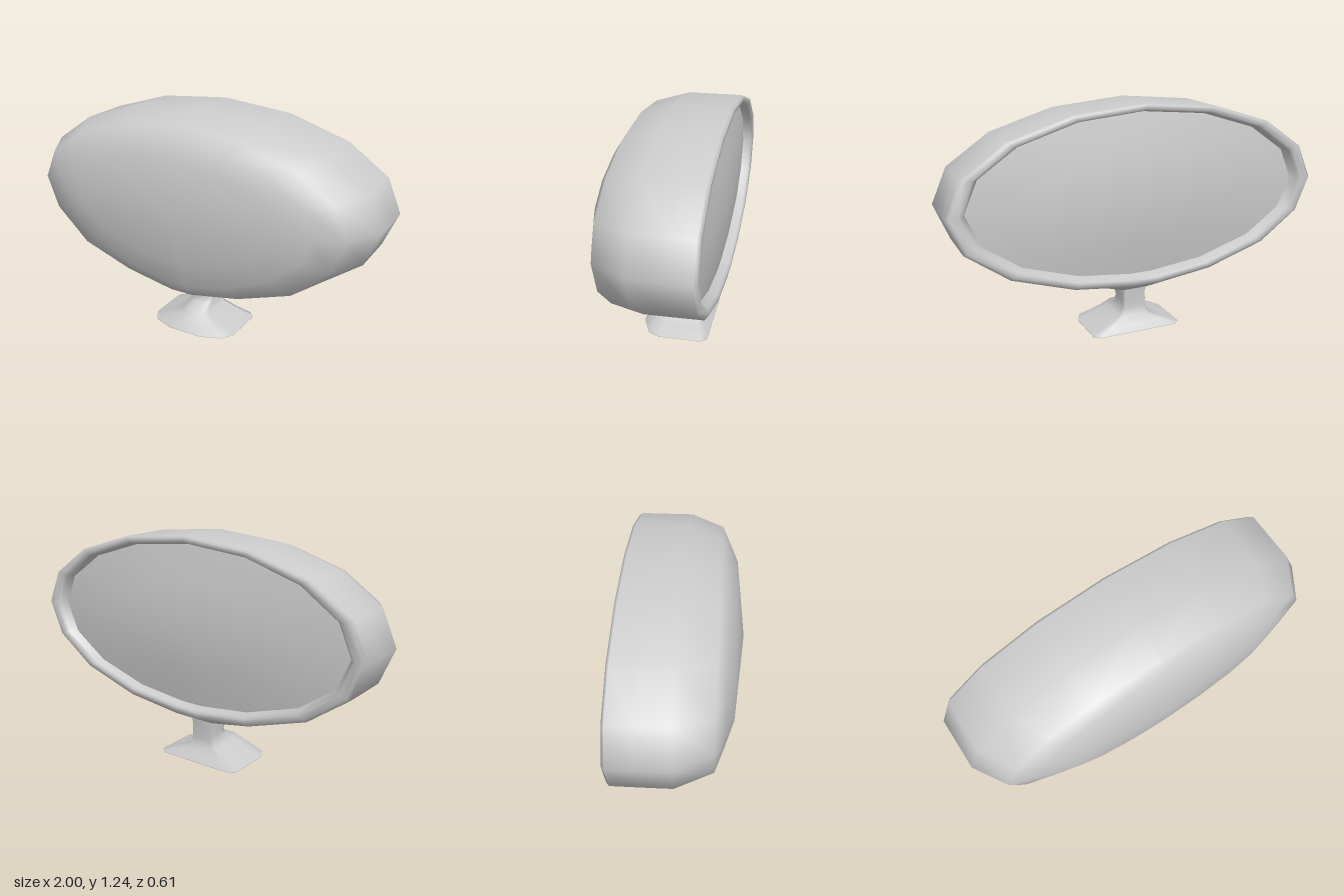
import * as THREE from 'three';

const SIDES = 16, CY = 0.77, RY = 0.465;

// Skin a list of closed rings of [x, y, z]; a ring of one point is a pole.
function loft(rings, name, material) {
  const pos = [], start = [], index = [];
  for (const ring of rings) {
    start.push(pos.length / 3);
    ring.forEach(p => pos.push(...p));
  }
  for (let i = 0; i < rings.length - 1; i++) {
    const la = rings[i].length, lb = rings[i + 1].length;
    for (let j = 0; j < Math.max(la, lb); j++) {
      const a = start[i] + j % la, b = start[i] + (j + 1) % la;
      const c = start[i + 1] + j % lb, d = start[i + 1] + (j + 1) % lb;
      if (a !== b) index.push(a, c, b);
      if (c !== d) index.push(b, c, d);
    }
  }
  const geometry = new THREE.BufferGeometry();
  geometry.setAttribute('position', new THREE.Float32BufferAttribute(pos, 3));
  geometry.setIndex(index);
  geometry.computeVertexNormals();
  const mesh = new THREE.Mesh(geometry, material);
  mesh.name = name;
  return mesh;
}

// Elliptical ring whose bottom corner is split to the width of the stem.
// drops lowers the bottom points, from the centre outward.
function ellipse(z, scale, drops = []) {
  const ring = [];
  for (let j = 0; j < SIDES; j++) {
    const a = j / SIDES * Math.PI * 2;
    const x = Math.cos(a) * scale;
    const y = CY + Math.sin(a) * RY * scale - (drops[Math.abs(j - 12)] ?? 0);
    if (j === 12) ring.push([-0.07 * scale, y, z], [0.07 * scale, y, z]);
    else ring.push([x, y, z]);
  }
  return ring;
}

// Half outline of the foot: [fraction of half width, fraction from back to front]
const FOOT = [[0.87, 0], [1, 0.08], [1, 0.7], [0.86, 0.87], [0.4, 1]];

function footRing(y, halfWidth, back, front) {
  const half = FOOT.map(([u, v]) => [u * halfWidth, y, back + (front - back) * v]);
  return [...half, ...half.map(([x, h, z]) => [-x, h, z]).reverse()];
}

export function createModel() {
  const group = new THREE.Group();
  group.name = 'mirror';
  const grey = new THREE.MeshStandardMaterial({ color: 0xcccccc });

  // Domed housing, running from the front pole over the rim into the recess
  group.add(loft([
    [[0, CY, 0.305]],
    ellipse(0.265, 0.59, [0.01, 0.01, 0.005]),
    ellipse(0.222, 0.745, [0.088, 0.07, 0.035, 0.01]),
    ellipse(0.178, 0.893, [0.086, 0.065, 0.055, 0.015]),
    ellipse(0, 1, [0.09, 0.025, 0.012, 0.005]),
    ellipse(-0.17, 1, [0.075, 0.02, 0.01, 0.005]),
    ellipse(-0.288, 1, [0.012, 0.01, 0.008, 0.004]),
    ellipse(-0.303, 0.982),
    ellipse(-0.303, 0.94),
    ellipse(-0.29, 0.92),
    ellipse(-0.245, 0.9),
  ], 'housing', grey));

  // Slightly convex glass in the recess
  group.add(loft([
    ellipse(-0.248, 0.905),
    ellipse(-0.285, 0.5),
    [[0, CY, -0.305]],
  ], 'glass', grey));

  // Stem flaring into the foot
  const base = footRing(0.004, 0.25, -0.225, 0.15);
  group.add(loft([
    base,
    footRing(0.01, 0.25, -0.225, 0.15),
    footRing(0.04, 0.17, -0.2, 0.125),
    footRing(0.08, 0.082, -0.174, 0.09),
    footRing(0.125, 0.065, -0.17, 0.0),
    footRing(0.158, 0.065, -0.17, -0.027),
    footRing(0.195, 0.065, -0.17, 0.0),
    footRing(0.225, 0.066, -0.172, 0.02),
    footRing(0.3, 0.068, -0.175, 0.03),
  ], 'stem', grey));

  // Shallow underside of the foot
  group.add(loft([[[0, 0, -0.04]], base], 'footUnderside', grey));

  return group;
}
